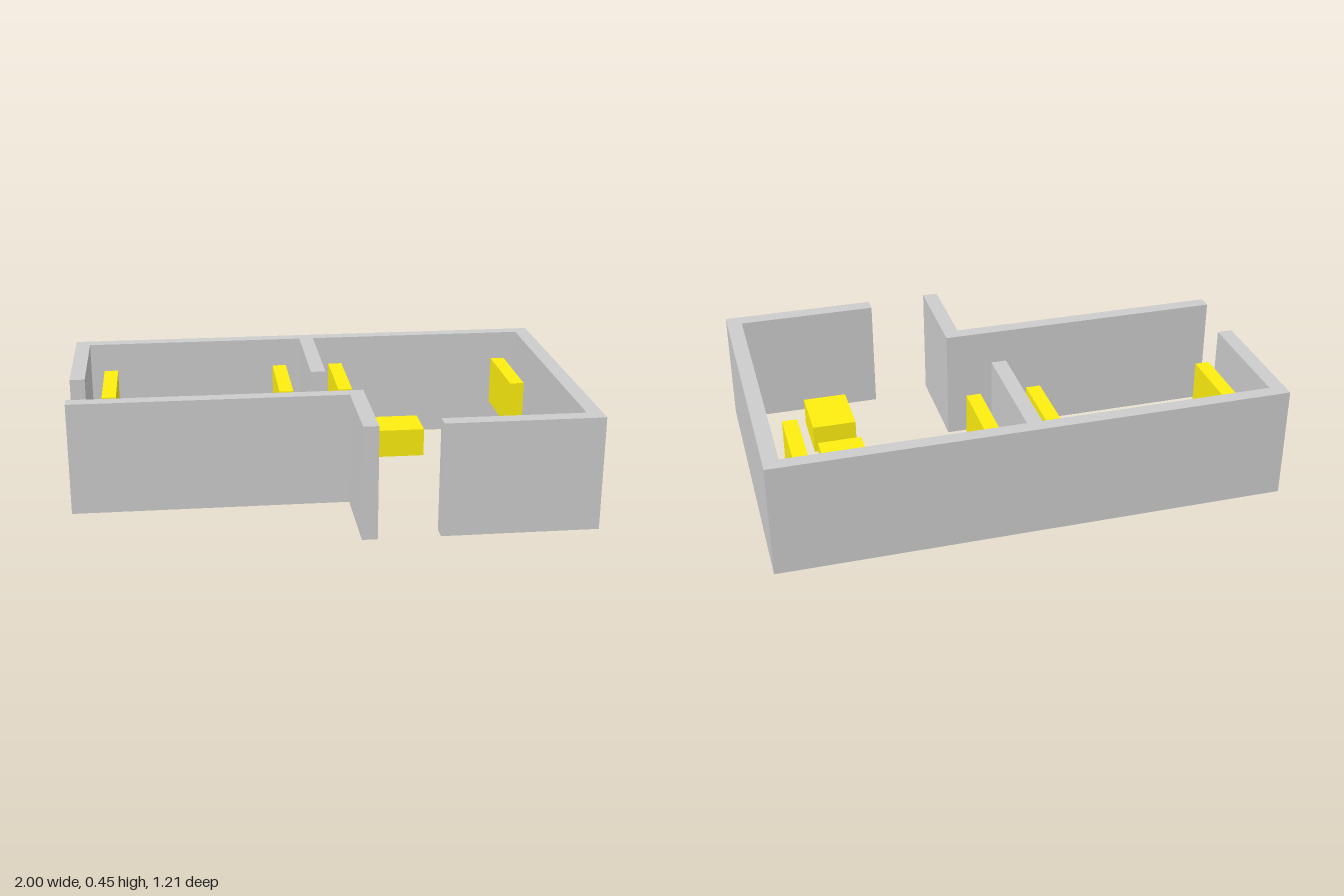
import * as THREE from 'three';

const FLOOR = 0.005, WALL_TOP = 0.455;

export function createModel() {
  const group = new THREE.Group();
  const grey = new THREE.MeshStandardMaterial({ color: 0xcccccc });
  const yellow = new THREE.MeshStandardMaterial({ color: 0xfdee0f });

  // Wall run extruded upward from a floor-plan outline of [x, z] corners
  const wall = (name, plan) => {
    const shape = new THREE.Shape(plan.map(([x, z]) => new THREE.Vector2(x, -z)));
    const geo = new THREE.ExtrudeGeometry(shape, { depth: WALL_TOP - FLOOR, bevelEnabled: false });
    geo.rotateX(-Math.PI / 2).translate(0, FLOOR, 0);
    const mesh = new THREE.Mesh(geo, grey);
    mesh.name = name;
    group.add(mesh);
  };

  // Furniture box given by its extents
  const block = (name, x0, x1, z0, z1, y0, y1) => {
    const mesh = new THREE.Mesh(new THREE.BoxGeometry(x1 - x0, y1 - y0, z1 - z0), yellow);
    mesh.position.set((x0 + x1) / 2, (y0 + y1) / 2, (z0 + z1) / 2);
    mesh.name = name;
    group.add(mesh);
  };

  // Outer walls with the partition between the two rooms
  wall('outerWalls', [
    [-1, -0.605], [1, -0.605], [1, 0.605], [0.39, 0.605], [0.39, 0.545], [0.94, 0.545],
    [0.94, -0.55], [0.03, -0.55], [0.03, -0.065], [-0.03, -0.065], [-0.03, -0.55],
    [-0.94, -0.55], [-0.94, -0.065], [-1, -0.065],
  ]);

  // Corridor wall turning toward the entrance
  wall('corridorWall', [
    [-1, 0.185], [0.15, 0.185], [0.15, 0.605], [0.09, 0.605], [0.09, 0.24], [-1, 0.24],
  ]);

  // Raised panels along the side walls of both rooms
  for (const x of [-0.852, -0.125, 0.12, 0.847])
    block('wallPanel', x - 0.029, x + 0.029, -0.488, -0.125, 0.155, 0.355);

  // Low furniture
  block('desk', -0.67, -0.305, -0.488, -0.37, 0.006, 0.125);
  block('deskSeat', -0.58, -0.4, -0.247, -0.125, 0.006, 0.122);
  block('lowTable', 0.24, 0.48, -0.427, -0.247, 0, 0.12);
  block('backSeat', 0.545, 0.722, -0.185, 0.06, 0.006, 0.122);
  block('frontSeat', 0.545, 0.722, 0.182, 0.422, 0.006, 0.122);

  return group;
}
